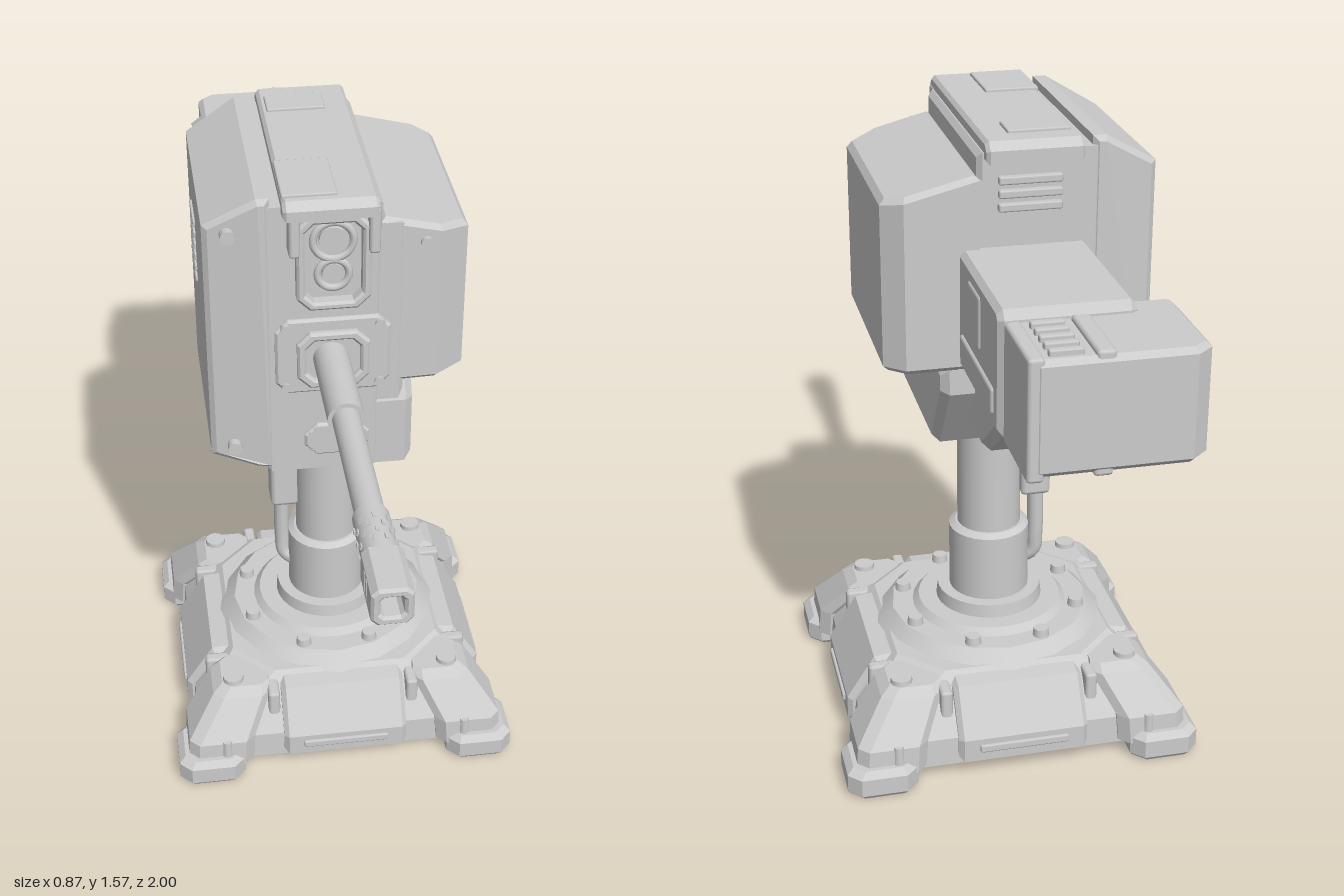
import * as THREE from 'three';
import { RoundedBoxGeometry } from 'three/addons/geometries/RoundedBoxGeometry.js';

const metal = new THREE.MeshStandardMaterial({ color: 0xcccccc });
metal.name = 'light grey metal';
const CZ = -0.09; // z of the pedestal axis

export function createModel() {
  const model = new THREE.Group();
  model.name = 'sentryTurret';
  const group = (name) => {
    const g = new THREE.Group();
    g.name = name;
    model.add(g);
    return g;
  };
  const add = (parent, name, geo) => {
    const m = new THREE.Mesh(geo, metal);
    m.name = name;
    parent.add(m);
    return m;
  };

  // Box given by its extents, with softened edges
  const box = (p, name, x0, x1, y0, y1, z0, z1, r = 0.008) => {
    const g = new RoundedBoxGeometry(x1 - x0, y1 - y0, z1 - z0, 1, r);
    g.translate((x0 + x1) / 2, (y0 + y1) / 2, (z0 + z1) / 2);
    return add(p, name, g);
  };
  // Bevelled extrusion of a 2D outline
  const extrude = (pts, len, b, hole) => {
    const v = (a) => a.map(([x, y]) => new THREE.Vector2(x, y));
    const s = new THREE.Shape(v(pts));
    if (hole) s.holes.push(new THREE.Path(v(hole)));
    return new THREE.ExtrudeGeometry(s, {
      depth: len - 2 * b, bevelEnabled: true, bevelSize: b, bevelThickness: b, bevelOffset: -b, bevelSegments: 1,
    });
  };
  // Outline in [z, y], running from x0 to x1
  const sideProfile = (pts, x0, x1, b = 0.012) =>
    extrude(pts, x1 - x0, b).rotateY(-Math.PI / 2).translate(x1 - b, 0, 0);
  // Outline in [x, y], running from z0 to z1
  const frontProfile = (pts, z0, z1, b = 0.012, hole) => extrude(pts, z1 - z0, b, hole).translate(0, 0, z0 + b);
  // Outline in [x, z], running from y0 to y1
  const topProfile = (pts, y0, y1, b = 0.012) =>
    extrude(pts, y1 - y0, b).rotateX(Math.PI / 2).translate(0, y1 - b, 0);
  // Rectangle with cut corners
  const cutRect = (cx, cy, w, h, c) => [
    [cx - w + c, cy - h], [cx + w - c, cy - h], [cx + w, cy - h + c], [cx + w, cy + h - c],
    [cx + w - c, cy + h], [cx - w + c, cy + h], [cx - w, cy + h - c], [cx - w, cy - h + c]];
  const frame = (p, name, cx, cy, w, h, t, z0, z1) =>
    add(p, name, frontProfile(cutRect(cx, cy, w, h, 0.03), z0, z1, 0.006, cutRect(cx, cy, w - t, h - t, 0.02)));
  const cylY = (p, name, x, z, r0, r1, y0, y1, n = 32) =>
    add(p, name, new THREE.CylinderGeometry(r1, r0, y1 - y0, n).translate(x, (y0 + y1) / 2, z));
  const cylZ = (p, name, x, y, r, z0, z1, n = 24) =>
    add(p, name, new THREE.CylinderGeometry(r, r, z1 - z0, n).rotateX(Math.PI / 2).translate(x, y, (z0 + z1) / 2));
  // Solid through cut-corner sections [y, centreX, centreZ, half width, corner cut]
  const loft = (p, name, levels) => {
    const pos = [], idx = [];
    levels.forEach(([y, cx, cz, w, c]) => cutRect(cx, cz, w, w, c).forEach(([x, z]) => pos.push(x, y, z)));
    for (let l = 0; l < levels.length - 1; l++)
      for (let i = 0; i < 8; i++) {
        const a = l * 8 + i, b = l * 8 + ((i + 1) % 8);
        idx.push(a, a + 8, b, b, a + 8, b + 8);
      }
    const t = (levels.length - 1) * 8;
    for (let i = 1; i < 7; i++) idx.push(0, i, i + 1, t, t + i + 1, t + i);
    let g = new THREE.BufferGeometry();
    g.setAttribute('position', new THREE.Float32BufferAttribute(pos, 3));
    g.setIndex(idx);
    g = g.toNonIndexed();
    g.computeVertexNormals();
    return add(p, name, g);
  };

  // Base: sloped hull, four legs with feet, four side panels
  const base = group('base');
  loft(base, 'baseHull', [[0.03, 0, CZ, 0.38, 0.08], [0.1, 0, CZ, 0.375, 0.08], [0.19, 0, CZ, 0.31, 0.09], [0.225, 0, CZ, 0.27, 0.1]]);
  for (const sx of [-1, 1]) for (const sz of [-1, 1]) {
    const at = (y, c, w, k) => [y, sx * c, CZ + sz * c, w, k];
    loft(base, 'baseLeg', [at(0.04, 0.325, 0.085, 0.025), at(0.11, 0.32, 0.085, 0.025), at(0.2, 0.26, 0.075, 0.025), at(0.218, 0.25, 0.06, 0.02)]);
    loft(base, 'foot', [at(0, 0.35, 0.078, 0.03), at(0.01, 0.35, 0.085, 0.03), at(0.055, 0.35, 0.085, 0.03), at(0.07, 0.347, 0.072, 0.026)]);
    cylY(base, 'legBolt', sx * 0.28, CZ + sz * 0.28, 0.03, 0.026, 0.19, 0.23, 12);
    cylY(base, 'footBolt', sx * 0.31, CZ + sz * 0.4, 0.015, 0.012, 0.06, 0.115, 10);
  }
  for (let i = 0; i < 4; i++) {
    const side = new THREE.Group();
    side.name = 'sidePanel';
    side.position.z = CZ;
    side.rotation.y = (i * Math.PI) / 2;
    base.add(side);
    add(side, 'panelPlate', sideProfile([[0.2, 0.04], [0.395, 0.04], [0.395, 0.1], [0.325, 0.21], [0.2, 0.225]], -0.16, 0.16));
    box(side, 'panelRail', -0.11, 0.11, 0.065, 0.085, 0.38, 0.402, 0.004);
    for (const s of [-1, 1]) box(side, 'panelClamp', s * 0.18 - 0.015, s * 0.18 + 0.015, 0.12, 0.21, 0.26, 0.345);
  }
  cylY(base, 'topPlate', 0, CZ, 0.29, 0.25, 0.215, 0.255, 16);
  cylY(base, 'topRing', 0, CZ, 0.2, 0.18, 0.25, 0.272);
  for (let i = 0; i < 8; i++) {
    const a = ((i + 0.5) * Math.PI) / 4;
    cylY(base, 'plateBolt', 0.225 * Math.cos(a), CZ + 0.225 * Math.sin(a), 0.022, 0.018, 0.245, 0.275, 10);
  }

  // Pedestal and cable
  const pedestal = group('pedestal');
  cylY(pedestal, 'columnFlange', 0, CZ, 0.135, 0.13, 0.265, 0.305);
  cylY(pedestal, 'lowerSleeve', 0, CZ, 0.1, 0.1, 0.3, 0.475);
  cylY(pedestal, 'sleeveLip', 0, CZ, 0.1, 0.085, 0.475, 0.485);
  cylY(pedestal, 'column', 0, CZ, 0.079, 0.079, 0.47, 0.78);
  cylY(pedestal, 'upperCollar', 0, CZ, 0.11, 0.12, 0.765, 0.83);
  box(pedestal, 'cableBox', -0.145, -0.07, 0.565, 0.7, -0.15, -0.07, 0.012);
  const tube = (name, pts) => add(pedestal, name, new THREE.TubeGeometry(
    new THREE.CatmullRomCurve3(pts.map((p) => new THREE.Vector3(...p))), 24, 0.02, 10));
  tube('upperCable', [[-0.08, 0.86, -0.29], [-0.08, 0.79, -0.285], [-0.095, 0.73, -0.235], [-0.11, 0.715, -0.16], [-0.11, 0.67, -0.115]]);
  tube('lowerCable', [[-0.115, 0.58, -0.11], [-0.115, 0.44, -0.11], [-0.11, 0.39, -0.105], [-0.075, 0.365, CZ]]);

  // Head: central spine, armour panel on one side, pod on the other
  const head = group('head');
  add(head, 'spine', sideProfile([[0.11, 0.82], [0.11, 1.54], [-0.43, 1.54], [-0.43, 1.0], [-0.31, 0.82]], -0.17, 0.105));
  add(head, 'spineShoulder', sideProfile([[0.105, 0.99], [0.105, 1.48], [-0.43, 1.48], [-0.43, 0.99]], 0.05, 0.16));
  add(head, 'lowerCheek', sideProfile([[0.108, 0.82], [0.108, 1.0], [0.08, 1.05], [-0.43, 1.05], [-0.43, 0.99], [-0.31, 0.82]], 0.05, 0.185, 0.018));
  const armour = frontProfile([[-0.15, 0.83], [-0.15, 1.56], [-0.18, 1.56], [-0.3, 1.49], [-0.3, 0.865], [-0.19, 0.835]], -0.43, 0.115);
  const pod = topProfile([[0.1, 0.105], [0.24, 0.1], [0.31, 0.05], [0.31, -0.4], [0.265, -0.44], [0.1, -0.44]], 1.05, 1.495);
  const reshape = (geo, rule) => {
    const p = geo.attributes.position;
    for (let i = 0; i < p.count; i++) p.setXYZ(i, ...rule(p.getX(i), p.getY(i), p.getZ(i)));
    geo.computeVertexNormals();
    return geo;
  };
  // Armour tapers towards its outer face; pod roof slopes down outwards
  add(head, 'armourPanel', reshape(armour, (x, y, z) => [x, y, x < -0.25 ? (z + 0.16) * 0.9 - 0.16 : z]));
  add(head, 'sidePod', reshape(pod, (x, y, z) => [x, y > 1.3 ? y - (x - 0.1) * 0.25 : y, z]));
  for (const y of [0.9, 1.475]) cylZ(head, 'armourBolt', -0.245, y, 0.017, 0.09, 0.118, 12);
  cylZ(head, 'podBolt', 0.205, 1.425, 0.014, 0.09, 0.112, 12);
  for (let i = 0; i < 6; i++) box(head, 'sideVentSlat', -0.306, -0.29, 1.2 + i * 0.03, 1.216 + i * 0.03, -0.28, -0.17, 0.003);

  // Roof cap and sensor
  add(head, 'roofCap', sideProfile([[0.155, 1.525], [0.155, 1.55], [0.135, 1.567], [-0.44, 1.567], [-0.46, 1.55], [-0.46, 1.52], [0.1, 1.515]], -0.125, 0.09, 0.008));
  box(head, 'frontHatch', -0.125, 0, 1.56, 1.574, -0.05, 0.12, 0.004);
  box(head, 'rearHatch', -0.11, 0.03, 1.56, 1.574, -0.39, -0.31, 0.004);
  for (const x of [-0.1, 0.08]) box(head, 'hoodCheek', x - 0.013, x + 0.013, 1.43, 1.545, 0.1, 0.152);
  frame(head, 'sensorFrame', -0.01, 1.405, 0.085, 0.12, 0.02, 0.1, 0.14);
  [[1.455, 0.046], [1.37, 0.036]].forEach(([y, r]) => {
    cylZ(head, 'lens', -0.01, y, r * 0.7, 0.1, 0.122);
    add(head, 'lensRing', new THREE.TorusGeometry(r, 0.009, 8, 24).translate(-0.01, y, 0.12));
  });

  // Front plates, lower grille and rear grille
  add(head, 'gunPlate', frontProfile(cutRect(-0.01, 1.15, 0.135, 0.1, 0.03), 0.095, 0.12, 0.006));
  frame(head, 'gunFrame', -0.01, 1.145, 0.085, 0.075, 0.022, 0.11, 0.135);
  for (const x of [-0.12, 0.1]) for (const y of [1.07, 1.23]) cylZ(head, 'plateScrew', x, y, 0.012, 0.11, 0.126, 10);
  frame(head, 'lowerGrilleFrame', 0, 0.91, 0.078, 0.045, 0.012, 0.1, 0.12);
  for (let i = 0; i < 3; i++) {
    box(head, 'lowerGrilleSlat', -0.055, 0.055, 0.885 + i * 0.02, 0.895 + i * 0.02, 0.1, 0.118, 0.003);
    box(head, 'rearGrilleSlat', -0.08, 0.06, 1.41 + i * 0.03, 1.428 + i * 0.03, -0.445, -0.42, 0.004);
  }

  // Barrel
  const gun = group('gun');
  cylZ(gun, 'barrelSleeve', -0.015, 1.145, 0.042, 0.09, 0.37);
  cylZ(gun, 'barrel', -0.015, 1.145, 0.032, 0.36, 0.74);
  cylZ(gun, 'barrelShroud', -0.015, 1.145, 0.039, 0.72, 0.87);
  for (let i = 0; i < 4; i++) for (let k = 0; k < 8; k++) {
    const a = ((k + (i % 2) / 2) * Math.PI) / 4;
    const hole = add(gun, 'shroudStud', new THREE.BoxGeometry(0.008, 0.008, 0.014));
    hole.position.set(-0.015 + 0.038 * Math.cos(a), 1.145 + 0.038 * Math.sin(a), 0.76 + i * 0.022);
    hole.rotation.z = a;
  }
  add(gun, 'muzzle', frontProfile(cutRect(-0.015, 1.145, 0.043, 0.045, 0.014), 0.86, 1, 0.006, cutRect(-0.015, 1.145, 0.024, 0.024, 0.008)));
  for (const s of [-1, 1]) for (const z of [0.915, 0.94])
    box(gun, 'muzzleRib', -0.015 + s * 0.041 - 0.004, -0.015 + s * 0.041 + 0.004, 1.12, 1.17, z - 0.006, z + 0.006, 0.002);

  // Rear arm and feed block
  const rear = group('rearArm');
  add(rear, 'armBody', sideProfile([[-0.4, 1.06], [-0.4, 1.33], [-0.785, 1.33], [-0.8, 1.31], [-0.8, 1.06]], -0.14, 0.145));
  add(rear, 'armKeel', sideProfile([[-0.3, 0.88], [-0.3, 1.1], [-0.8, 1.1], [-0.8, 1.06], [-0.72, 1.05], [-0.5, 0.88]], -0.1, 0.11, 0.02));
  box(rear, 'armSidePlate', 0.13, 0.152, 1.09, 1.15, -0.76, -0.46);
  box(rear, 'armSideHatch', 0.13, 0.15, 1.18, 1.3, -0.64, -0.53);
  add(rear, 'feedBlock', topProfile([[-0.235, -0.78], [0.125, -0.78], [0.125, -0.985], [0.11, -1], [-0.2, -1], [-0.235, -0.97]], 1.06, 1.305));
  add(rear, 'feedDrum', topProfile([[-0.13, -0.68], [-0.24, -0.68], [-0.26, -0.7], [-0.26, -0.9], [-0.235, -0.925], [-0.13, -0.925]], 1.08, 1.29, 0.025));
  box(rear, 'feedRail', -0.04, 0.0, 1.05, 1.315, -0.995, -0.8);
  box(rear, 'feedCheek', 0.1, 0.135, 1.05, 1.31, -0.998, -0.8);
  for (let i = 0; i < 5; i++) box(rear, 'feedRib', 0.02, 0.09, 1.29, 1.318, -0.98 + i * 0.035, -0.962 + i * 0.035, 0.004);
  return model;
}
